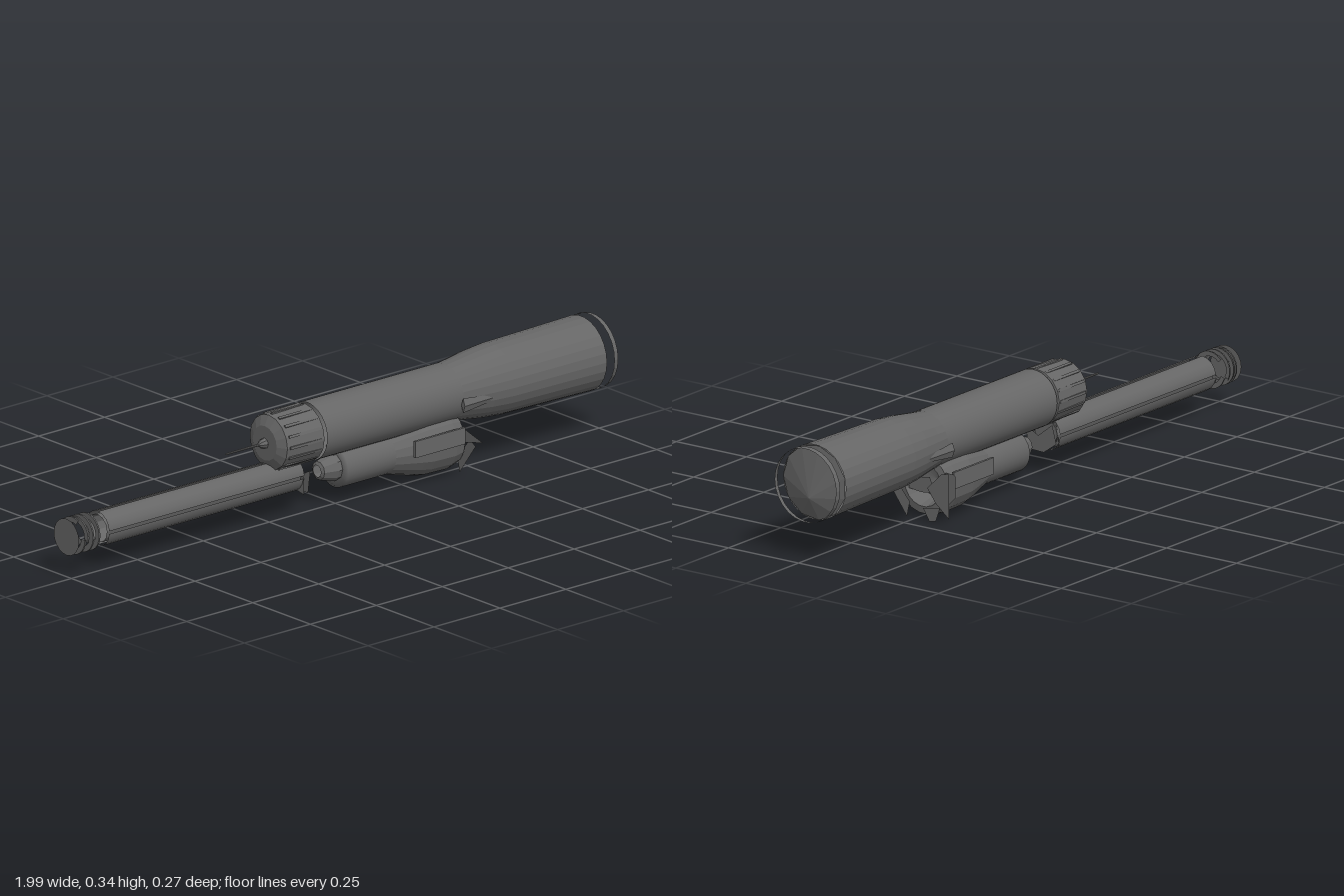
import * as THREE from 'three';

export function createModel() {
  const model = new THREE.Group();
  const metal = new THREE.MeshStandardMaterial({ color: 0x666666, side: THREE.DoubleSide });
  metal.name = 'darkMetal';
  const faceted = metal.clone();
  faceted.flatShading = true;

  const UPPER = [0.237, -0.02], ROD = [0.122, -0.025], LOWER = [0.107, -0.022];

  const add = (name, geometry, material = faceted) => {
    const mesh = new THREE.Mesh(geometry, material);
    mesh.name = name;
    model.add(mesh);
    return mesh;
  };

  // Turned part along x from [x, radius] pairs, on a given [y, z] axis
  const turned = (name, axis, profile, sides, material, start = 0, sweep = Math.PI * 2) => {
    const points = profile.map(([x, r]) => new THREE.Vector2(r, x));
    const geometry = new THREE.LatheGeometry(points, sides, start, sweep);
    geometry.rotateZ(-Math.PI / 2).translate(0, axis[0], axis[1]);
    return add(name, geometry, material);
  };

  // Thin flat plate across x, outlined by [z, y] corners
  const plate = (name, x, corners) => {
    const shape = new THREE.Shape(corners.map(([z, y]) => new THREE.Vector2(-z, y)));
    add(name, new THREE.ShapeGeometry(shape).rotateY(Math.PI / 2).translate(x, 0, 0));
  };

  // Upper assembly: smooth tube, swelling head and its loose rim
  turned('mainTube', UPPER, [[-0.088, 0.086], [0.43, 0.086]], 40, metal);
  turned('head', UPPER, [
    [0.42, 0.084], [0.47, 0.09], [0.54, 0.1], [0.61, 0.106], [0.8, 0.109], [0.95, 0.112],
  ], 26);
  const nose = turned('headEnd', UPPER, [[0.95, 0.112], [0.978, 0]], 11);
  const nosePoints = nose.geometry.attributes.position;
  for (let i = 0; i < nosePoints.count; i++) {
    if (nosePoints.getX(i) > 0.97) nosePoints.setY(i, 0.195); // off-centre tip
  }
  nose.geometry.computeVertexNormals();
  turned('headRim', UPPER, [[0.978, 0.112], [0.994, 0.11]], 26);

  // Creases where the tube runs into the head
  for (const side of [-1, 1]) {
    const crease = add('headCrease', new THREE.ConeGeometry(0.022, 0.2, 4));
    crease.scale.z = 0.35;
    crease.rotation.z = -Math.PI / 2;
    crease.position.set(0.52, UPPER[0] - 0.015, UPPER[1] + side * 0.094);
  }

  // Grooved rear cap with its needle
  turned('rearCap', UPPER, [
    [-0.25, 0], [-0.25, 0.052], [-0.235, 0.082], [-0.098, 0.086], [-0.095, 0.078],
  ], 16);
  for (let i = 0; i < 16; i++) {
    const a = (i / 16) * Math.PI * 2;
    const rib = add('capRib', new THREE.BoxGeometry(0.12, 0.004, 0.008));
    rib.position.set(-0.165, UPPER[0] + Math.cos(a) * 0.084, UPPER[1] + Math.sin(a) * 0.084);
    rib.rotation.x = a;
  }
  turned('needle', UPPER, [
    [-0.4, 0], [-0.395, 0.003], [-0.275, 0.004], [-0.265, 0.012], [-0.25, 0.016],
  ], 8);

  // Long open rod made of separate curved strips
  const gaps = 0.16;
  for (let i = 0; i < 4; i++) {
    turned('rodStrip', ROD, [[-0.88, 0.052], [-0.14, 0.052]], 4, metal,
      i * Math.PI / 2 + gaps / 2, Math.PI / 2 - gaps);
  }
  turned('rodCore', ROD, [[-0.88, 0.042], [-0.14, 0.042]], 12);

  // Broken flanges on the rod end
  plate('rodFlange', -0.145, [[0.03, 0.07], [0.03, 0.12], [0, 0.165], [-0.06, 0.16], [-0.07, 0.09]]);
  plate('rodFlange', -0.125, [[0.025, 0.07], [0.035, 0.14], [-0.01, 0.115], [-0.06, 0.155], [-0.075, 0.1], [-0.03, 0.068]]);

  // Loose washers and end disc beyond the rod
  turned('endDisc', ROD, [[-0.997, 0], [-0.997, 0.055]], 20);
  [-0.976, -0.964, -0.945, -0.922].forEach((x, i) => {
    turned('washer', ROD, [[x, 0.04], [x, 0.056], [x + 0.005, 0.056]], 18, faceted, i * 1.3, 5.2);
  });

  // Lower barrel with a small nozzle and a flared end
  turned('nozzle', LOWER, [[-0.05, 0.018], [-0.045, 0.028], [0, 0.041], [0.012, 0.041]], 10);
  turned('lowerBarrel', LOWER, [[0.012, 0.035], [0.014, 0.063], [0.2, 0.063]], 30, metal);
  turned('flare', LOWER, [
    [0.195, 0.063], [0.22, 0.07], [0.29, 0.088], [0.32, 0.094], [0.4, 0.096], [0.435, 0.088],
    [0.438, 0.066], [0.38, 0.05], [0.37, 0],
  ], 18);
  for (const side of [-1, 1]) {
    const wall = add('flareSide', new THREE.BoxGeometry(0.19, 0.05, 0.008));
    wall.position.set(0.33, LOWER[0] + 0.025, LOWER[1] + side * 0.097);
  }

  // Jagged shards around the flared end
  plate('shard', 0.44, [[0.136, 0.122], [0.08, 0.137], [0.035, 0.15], [0.03, 0.095]]);
  plate('shard', 0.445, [[0.1, 0.1], [0.075, 0.115], [0.02, 0.05], [0.03, 0.004]]);
  plate('shard', 0.442, [[-0.04, 0.1], [-0.09, 0.15], [-0.118, 0.155], [-0.118, 0.02], [-0.07, 0.06]]);
  plate('shard', 0.436, [[-0.1, 0.155], [-0.13, 0.155], [-0.136, 0.15], [-0.136, 0.085], [-0.1, 0.05]]);
  plate('shard', 0.448, [[-0.03, 0.04], [-0.09, 0.05], [-0.075, 0.008], [-0.052, 0.004]]);
  plate('shard', 0.43, [[0.035, 0.085], [0.03, 0.12], [-0.04, 0.13], [-0.06, 0.085], [-0.01, 0.08]]);

  return model;
}
